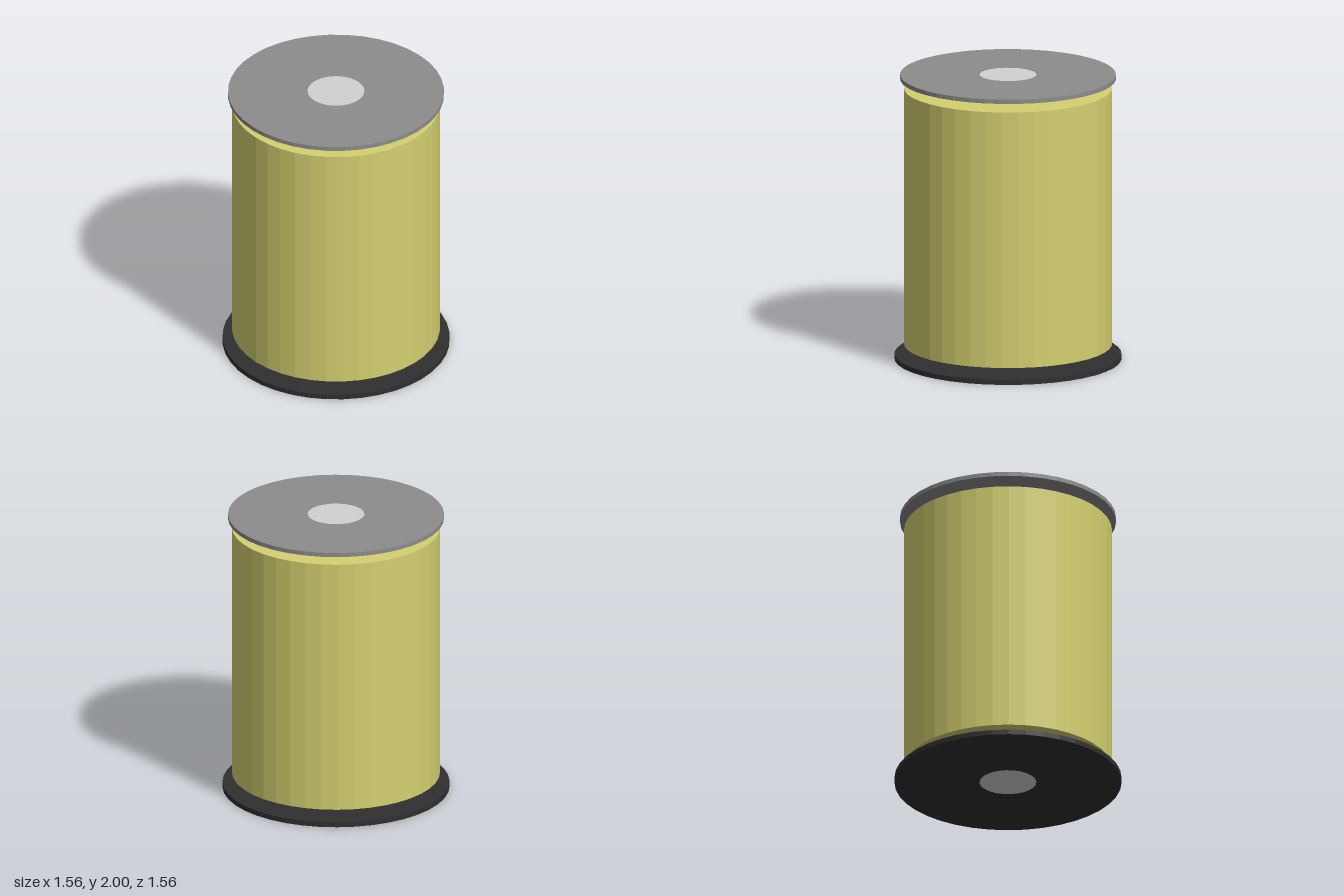
import * as THREE from 'three';

const material = (name, color) => {
  const m = new THREE.MeshStandardMaterial({ color, flatShading: true });
  m.name = name;
  return m;
};

const HUB_RADIUS = 0.195, HUB_SIDES = 24, SIDES = 40;

// Corners of a regular polygon
function ring(radius, sides) {
  return Array.from({ length: sides }, (_, i) => {
    const a = (i / sides) * Math.PI * 2;
    return new THREE.Vector2(Math.cos(a) * radius, Math.sin(a) * radius);
  });
}

// Upright disc with a central hole that fits the hub
function disc(name, radius, y0, y1, mat) {
  const shape = new THREE.Shape(ring(radius, SIDES));
  shape.holes.push(new THREE.Path(ring(HUB_RADIUS, HUB_SIDES)));
  const geo = new THREE.ExtrudeGeometry(shape, { depth: y1 - y0, bevelEnabled: false });
  geo.rotateX(-Math.PI / 2).translate(0, y0, 0);
  const mesh = new THREE.Mesh(geo, mat);
  mesh.name = name;
  return mesh;
}

export function createModel() {
  const model = new THREE.Group();
  model.name = 'spool';

  // Central hub running the full height, flush with both end discs
  const hub = new THREE.Mesh(
    new THREE.CylinderGeometry(HUB_RADIUS, HUB_RADIUS, 2, HUB_SIDES),
    material('lightGrey', 0xd2d2d2)
  );
  hub.name = 'hub';
  hub.position.y = 1;

  model.add(
    hub,
    disc('bottomDisc', 0.778, 0, 0.035, material('black', 0x2f2f2f)),
    disc('woundBody', 0.713, 0.103, 1.903, material('yellow', 0xd4d070)),
    disc('topDisc', 0.74, 1.97, 2, material('grey', 0x8c8c8c))
  );
  return model;
}
